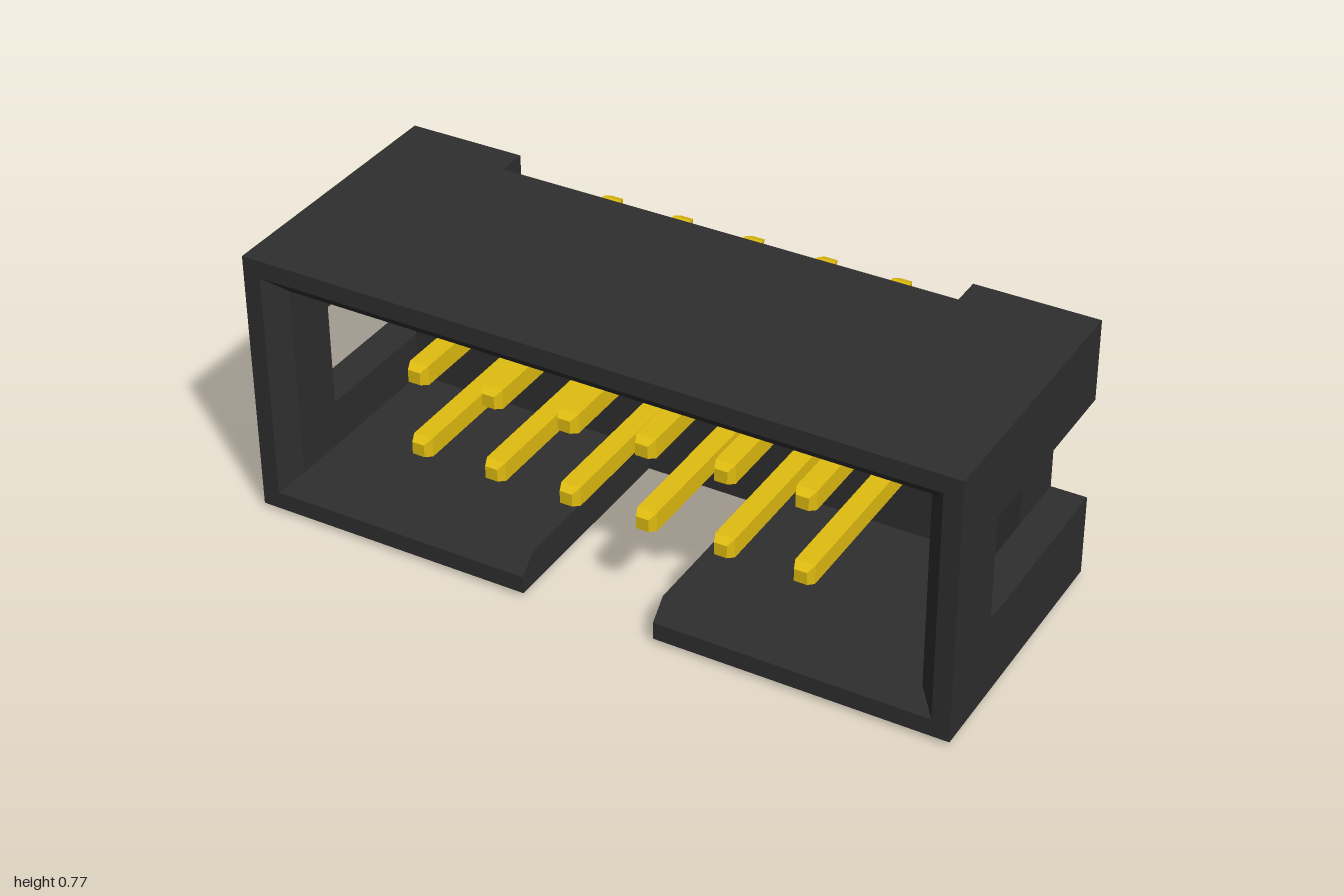
import * as THREE from 'three';

const BACK = -0.235, FRONT = 0.545, FLOOR = -0.045, SLOT_END = -0.09;
const WALL = 0.1, LIP = 0.05, HALF_H = 0.38, MID_Y = 0.393;
const WINDOW = 0.148, WINDOW_FRONT = 0.34;

const plastic = new THREE.MeshStandardMaterial({ color: 0x2e2e2e });
const metal = new THREE.MeshStandardMaterial({ color: 0xe0bc10 });

// Profiles are [z, depth inwards from the outer face]
const rect = (z0, z1) => [[z0, 0], [z1, 0], [z1, WALL], [z0, WALL]];
const lipped = z0 => [[z0, 0], [FRONT, 0], [FRONT, LIP], [FRONT - LIP, WALL], [z0, WALL]];
const notched = [[BACK + 0.085, 0], ...lipped(BACK).slice(1), [BACK, 0.083]];

// Sweeps a wall profile from a to b along one side of the shell;
// mitred ends meet the neighbouring wall at 45 degrees
function wall(name, angle, half, a, b, profile, mitreA = false, mitreB = false) {
  const shape = new THREE.Shape(profile.map(([z, d]) => new THREE.Vector2(-z, d)));
  const g = new THREE.ExtrudeGeometry(shape, { depth: b - a, bevelEnabled: false });
  g.rotateY(Math.PI / 2).translate(a, 0, 0);
  const p = g.attributes.position;
  for (let i = 0; i < p.count; i++) {
    const d = p.getY(i), atStart = p.getX(i) < (a + b) / 2;
    if (atStart && mitreA) p.setX(i, a + d);
    if (!atStart && mitreB) p.setX(i, b - d);
  }
  g.translate(0, -half, 0).rotateZ(angle);
  g.computeVertexNormals();
  const m = new THREE.Mesh(g, plastic);
  m.name = name;
  return m;
}

function block(name, x0, x1, y0, y1, z0, z1) {
  const m = new THREE.Mesh(new THREE.BoxGeometry(x1 - x0, y1 - y0, z1 - z0), plastic);
  m.position.set((x0 + x1) / 2, (y0 + y1) / 2, (z0 + z1) / 2);
  m.name = name;
  return m;
}

// Square pin with tapered tips
function pinGeometry() {
  const zs = [-0.545, -0.52, 0.435, 0.46];
  let g = new THREE.BoxGeometry(0.055, 0.055, 3, 1, 1, 3);
  const p = g.attributes.position;
  for (let i = 0; i < p.count; i++) {
    const k = Math.round(p.getZ(i) + 1.5);
    const s = k === 0 || k === 3 ? 0.65 : 1;
    p.setXYZ(i, p.getX(i) * s, p.getY(i) * s, zs[k]);
  }
  g = g.toNonIndexed();
  g.computeVertexNormals();
  return g;
}

export function createModel() {
  const model = new THREE.Group();
  model.name = 'pinHeader';

  const housing = new THREE.Group();
  housing.name = 'housing';
  housing.position.y = MID_Y;
  model.add(housing);

  // Bottom wall, open at the key slot
  const s0 = -0.195, s1 = 0.185;
  housing.add(
    wall('bottomWall', 0, HALF_H, -1, s0, lipped(BACK), true, false),
    wall('bottomWall', 0, HALF_H, s1, 1, lipped(BACK), false, true),
    wall('bottomWallBehindSlot', 0, HALF_H, s0, s1, rect(BACK, SLOT_END)));

  // Top wall with a sloped notch along the back edge
  const n0 = -0.655, n1 = 0.665;
  housing.add(
    wall('topWall', Math.PI, HALF_H, -1, n0, lipped(BACK), true, false),
    wall('topWallNotch', Math.PI, HALF_H, n0, n1, notched),
    wall('topWall', Math.PI, HALF_H, n1, 1, lipped(BACK), false, true));

  // Side walls with windows running out to the back
  for (const side of [1, -1]) {
    const angle = side * Math.PI / 2;
    housing.add(
      wall('sideWall', angle, 1, -HALF_H, -WINDOW, lipped(BACK), true, false),
      wall('sideWallFront', angle, 1, -WINDOW, WINDOW, lipped(WINDOW_FRONT)),
      wall('sideWall', angle, 1, WINDOW, HALF_H, lipped(BACK), false, true));
  }

  // Base that holds the pins, with the slot cut a little into it
  const bx = 1 - WALL, by = HALF_H - WALL, cut = 0.16 - MID_Y;
  housing.add(
    block('base', -bx, bx, -by, by, BACK, SLOT_END),
    block('baseFace', -bx, bx, cut, by, SLOT_END, FLOOR),
    block('baseFace', -bx, s0, -by, cut, SLOT_END, FLOOR),
    block('baseFace', s1, bx, -by, cut, SLOT_END, FLOOR));

  // Raised triangle under the first pin
  const tri = new THREE.Shape([[-0.64, 0.46], [-0.47, 0.46], [-0.555, 0.29]]
    .map(([x, z]) => new THREE.Vector2(x, -z)));
  const marker = new THREE.Mesh(
    new THREE.ExtrudeGeometry(tri, { depth: 0.013, bevelEnabled: false }).rotateX(-Math.PI / 2),
    plastic);
  marker.name = 'pinOneMarker';
  model.add(marker);

  // Two rows of six pins
  const pins = new THREE.Group();
  pins.name = 'pins';
  const geo = pinGeometry();
  for (const y of [0.283, 0.503]) {
    for (let i = 0; i < 6; i++) {
      const pin = new THREE.Mesh(geo, metal);
      pin.name = 'pin';
      pin.position.set(-0.555 + i * 0.2207, y, 0);
      pins.add(pin);
    }
  }
  model.add(pins);
  return model;
}
